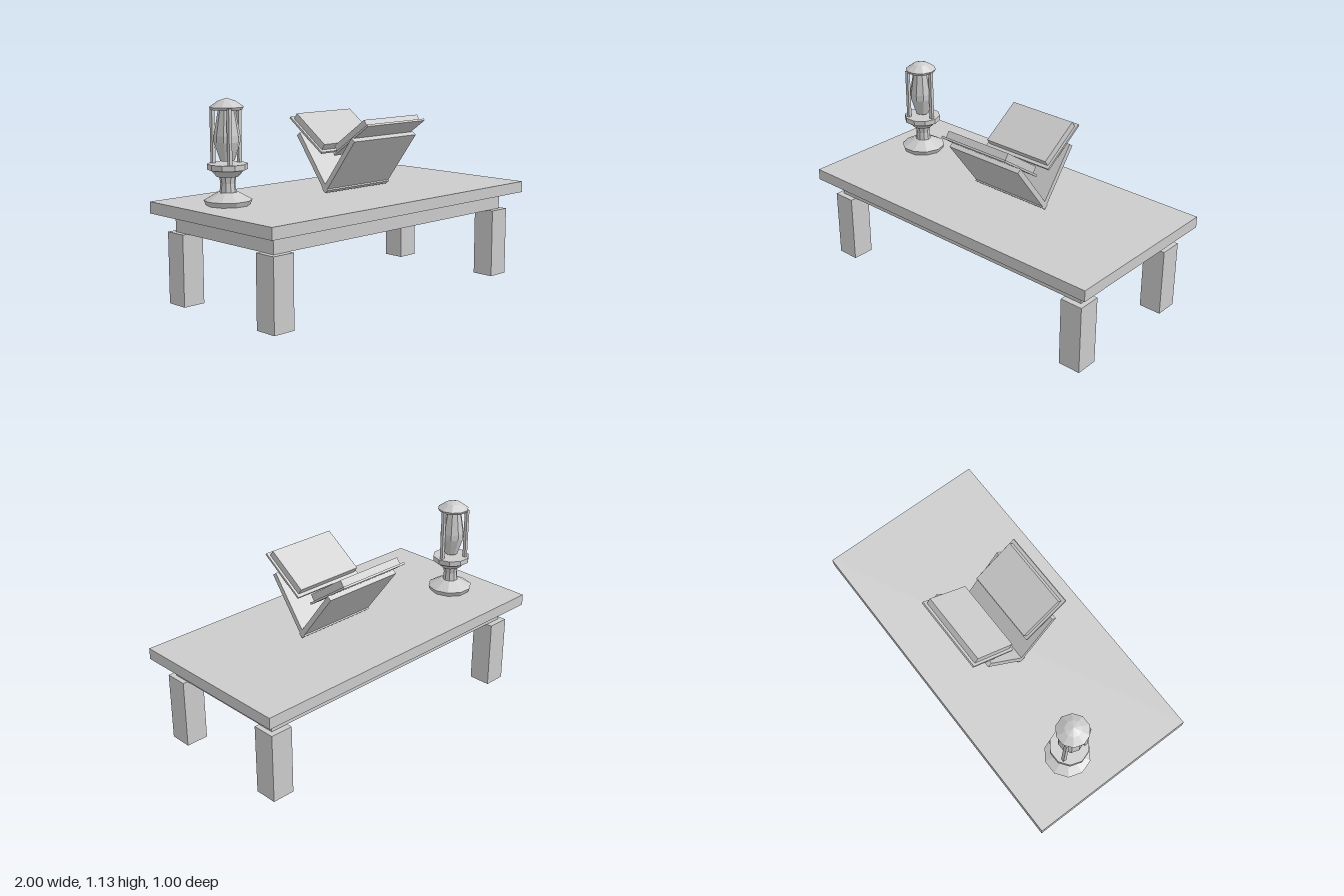
import * as THREE from 'three';

const grey = new THREE.MeshStandardMaterial({ color: 0xcccccc });
grey.name = 'plain grey';

function add(parent, name, geometry, x = 0, y = 0, z = 0) {
  const mesh = new THREE.Mesh(geometry, grey);
  mesh.name = name;
  mesh.position.set(x, y, z);
  parent.add(mesh);
  return mesh;
}

const box = (w, h, d) => new THREE.BoxGeometry(w, h, d);

// Ten-sided faceted turning, with corners on the x axis
function turned(points) {
  const lathe = new THREE.LatheGeometry(points.map(([r, y]) => new THREE.Vector2(r, y)), 10);
  lathe.rotateY(Math.PI / 2);
  const faceted = lathe.toNonIndexed();
  faceted.computeVertexNormals();
  return faceted;
}

function createTable() {
  const table = new THREE.Group();
  table.name = 'table';
  add(table, 'tableTop', box(2, 0.065, 1), 0, 0.5325, 0);
  add(table, 'apron', box(1.81, 0.1, 0.8), 0, 0.45, 0);
  for (const sx of [-1, 1]) {
    for (const sz of [-1, 1]) {
      add(table, 'leg', box(0.133, 0.4, 0.133), sx * 0.867, 0.2, sz * 0.367);
    }
  }
  return table;
}

function createBookStand() {
  const stand = new THREE.Group();
  stand.name = 'bookStand';
  stand.position.x = 0.081;
  for (const s of [-1, 1]) {
    // Crossed support board
    const board = add(stand, 'standBoard', box(0.5, 0.385, 0.03), 0, 0.735, s * 0.1035);
    board.rotation.x = s * 0.643;
    // Half of the open book: cover with a block of pages on it
    const half = new THREE.Group();
    half.name = 'bookHalf';
    half.position.set(0, 0.883, s * 0.18);
    half.rotation.x = -s * 0.61;
    add(half, 'cover', box(0.46, 0.012, 0.318));
    add(half, 'pages', box(0.43, 0.039, 0.28), 0, 0.0255, 0);
    stand.add(half);
  }
  return stand;
}

function createLantern() {
  const lantern = new THREE.Group();
  lantern.name = 'lantern';
  lantern.position.set(-0.755, 0, -0.133);
  add(lantern, 'foot', turned([[0, 0.565], [0.118, 0.565], [0.13, 0.592], [0.055, 0.633], [0, 0.633]]));
  add(lantern, 'stem', turned([[0.045, 0.63], [0.04, 0.68], [0.046, 0.72]]));
  add(lantern, 'bowl', turned([[0, 0.717], [0.06, 0.717], [0.09, 0.752], [0.108, 0.755], [0.108, 0.785], [0, 0.785]]));
  add(lantern, 'globe', turned([[0, 0.8], [0.038, 0.8], [0.07, 0.9], [0.07, 0.935], [0.045, 1.072], [0, 1.072]]));
  add(lantern, 'cap', turned([[0, 1.07], [0.083, 1.07], [0.091, 1.085], [0.045, 1.117], [0, 1.132]]));
  // Three rods carrying the cap
  for (let i = 0; i < 3; i++) {
    const a = (i * Math.PI * 2) / 3;
    add(lantern, 'rod', box(0.019, 0.3, 0.019), Math.cos(a) * 0.082, 0.93, Math.sin(a) * 0.082);
  }
  return lantern;
}

export function createModel() {
  const model = new THREE.Group();
  model.name = 'readingTable';
  model.add(createTable(), createBookStand(), createLantern());
  return model;
}
